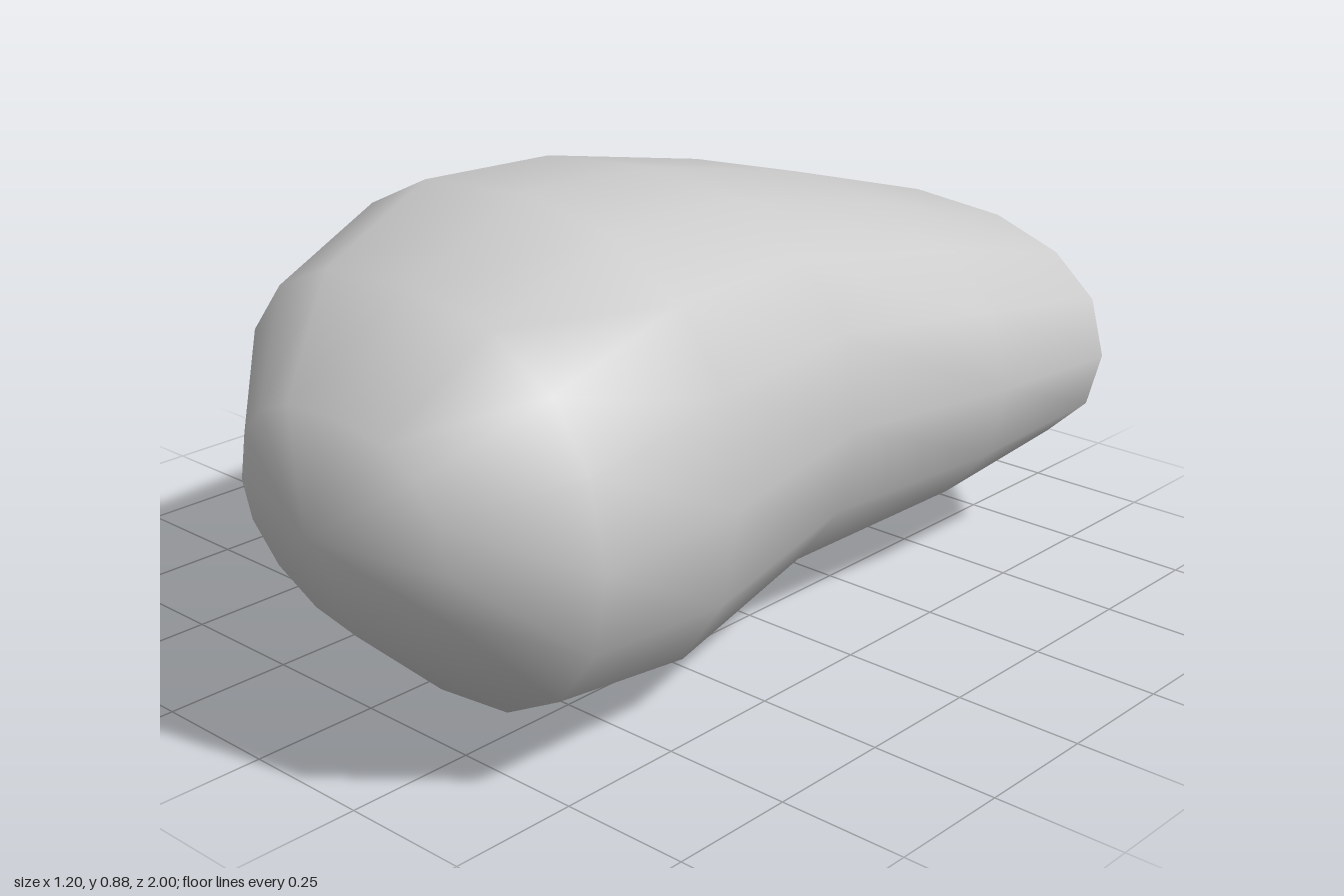
import * as THREE from 'three';

const SIDES = 16;

// Cross-sections, front to back: zLow, xLow, zHigh, xHigh (the two flanks), bottom y, top y
const RINGS = [
  [0.91, -0.12, 0.94, 0.43, 0.27, 0.645],
  [0.69, -0.38, 0.76, 0.6, 0.09, 0.81],
  [0.35, -0.54, 0.41, 0.57, 0, 0.885],
  [-0.02, -0.6, -0.02, 0.48, 0.035, 0.845],
  [-0.42, -0.57, -0.43, 0.53, 0.08, 0.765],
  [-0.74, -0.43, -0.74, 0.55, 0.155, 0.68],
  [-0.94, -0.19, -0.94, 0.38, 0.275, 0.56],
];
const FRONT_TIP = [0.16, 0.46, 1];
const BACK_TIP = [0.1, 0.42, -1];

// Rounded section whose four quadrants differ in fullness
function ringPoint([zLow, xLow, zHigh, xHigh, bottom, top], j) {
  const a = (j / SIDES) * Math.PI * 2;
  const c = Math.cos(a), s = Math.sin(a);
  const upper = s >= 0, outer = c < 0;
  const n = upper ? (outer ? 2.6 : 2.3) : (outer ? 1.85 : 2.2);
  const apex = upper ? 0.03 : 0.12; // sideways shift of the crest and the keel
  const u = Math.sign(c) * Math.abs(c) ** (2 / n);
  const v = Math.sign(s) * Math.abs(s) ** (2 / n);
  const across = apex + u * (outer ? 1 + apex : 1 - apex);
  const t = (across + 1) / 2;
  return [
    THREE.MathUtils.lerp(xLow, xHigh, t),
    (bottom + top) / 2 + (v * (top - bottom)) / 2,
    THREE.MathUtils.lerp(zLow, zHigh, t),
  ];
}

function beanGeometry() {
  const positions = [], index = [];
  for (const ring of RINGS) {
    for (let j = 0; j < SIDES; j++) positions.push(...ringPoint(ring, j));
  }
  const front = RINGS.length * SIDES, back = front + 1;
  positions.push(...FRONT_TIP, ...BACK_TIP);

  const last = (RINGS.length - 1) * SIDES;
  for (let j = 0; j < SIDES; j++) {
    const k = (j + 1) % SIDES;
    index.push(front, j, k, back, last + k, last + j);
    for (let r = 0; r < last; r += SIDES) {
      const a = r + j, b = r + k, c = a + SIDES, d = b + SIDES;
      index.push(a, c, b, b, c, d);
    }
  }
  const geometry = new THREE.BufferGeometry();
  geometry.setAttribute('position', new THREE.Float32BufferAttribute(positions, 3));
  geometry.setIndex(index);
  geometry.computeVertexNormals();
  return geometry;
}

export function createModel() {
  const group = new THREE.Group();
  group.name = 'bean';
  const body = new THREE.Mesh(beanGeometry(), new THREE.MeshStandardMaterial({ color: 0xcccccc }));
  body.name = 'beanBody';
  group.add(body);
  return group;
}
